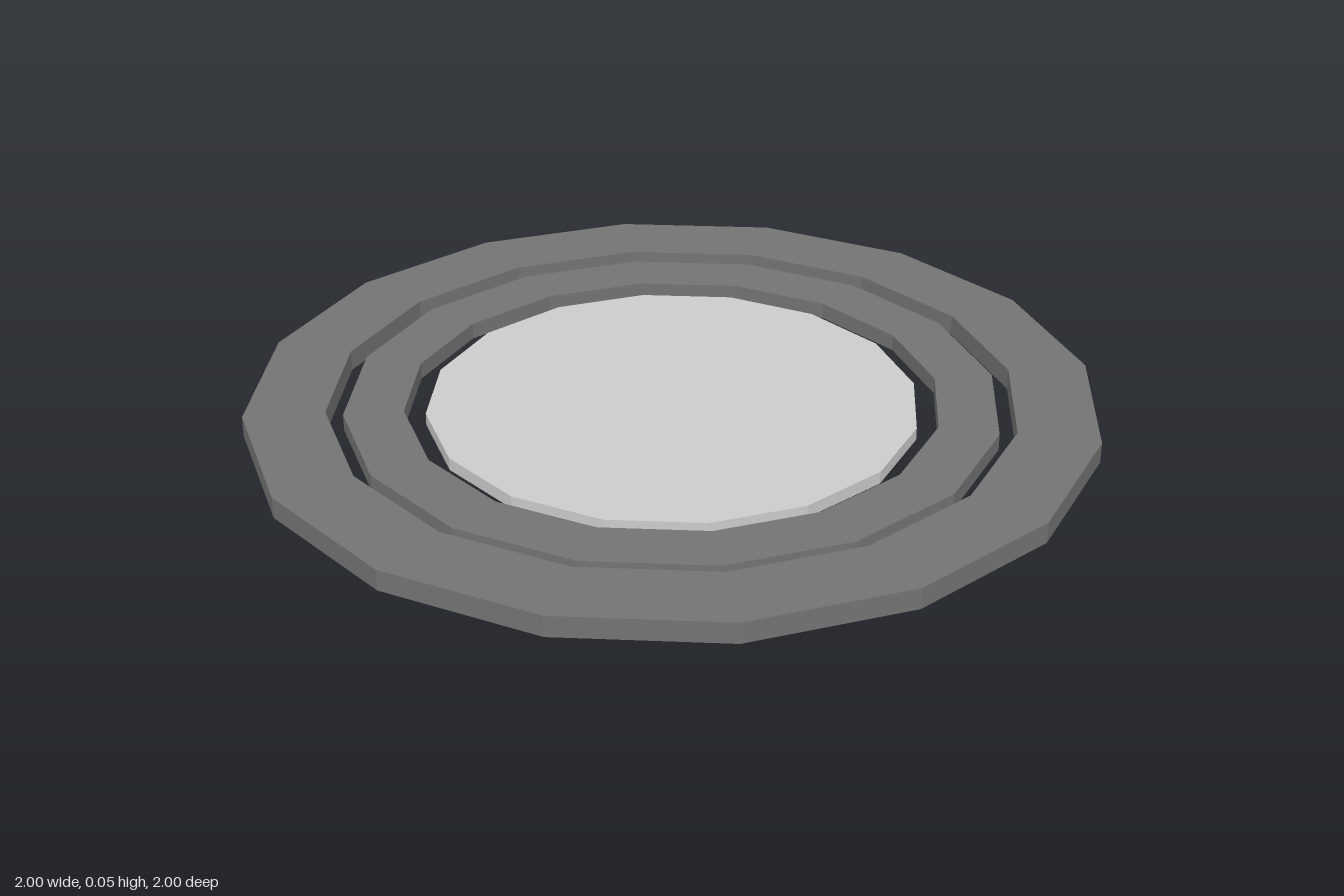
import * as THREE from 'three';

const SIDES = 16;

// Flat-faced ring standing on y = 0, lathed from a rectangular section
function ring(name, inner, outer, height, material) {
  const section = [[inner, 0], [outer, 0], [outer, height], [inner, height], [inner, 0]];
  const points = section.map(([x, y]) => new THREE.Vector2(x, y));
  const mesh = new THREE.Mesh(new THREE.LatheGeometry(points, SIDES), material);
  mesh.name = name;
  return mesh;
}

export function createModel() {
  const group = new THREE.Group();
  group.name = 'concentricRings';
  const dark = new THREE.MeshStandardMaterial({ color: 0x737373, flatShading: true });
  const grey = new THREE.MeshStandardMaterial({ color: 0xcccccc, flatShading: true });

  // Two dark rings, the inner one slightly lower
  group.add(ring('outerRing', 0.81, 1, 0.05, dark));
  group.add(ring('middleRing', 0.63, 0.77, 0.04, dark));

  // Pale centre disc, lowest of the three
  const height = 0.03;
  const disc = new THREE.Mesh(new THREE.CylinderGeometry(0.58, 0.58, height, SIDES), grey);
  disc.name = 'centreDisc';
  disc.position.y = height / 2;
  group.add(disc);

  return group;
}
